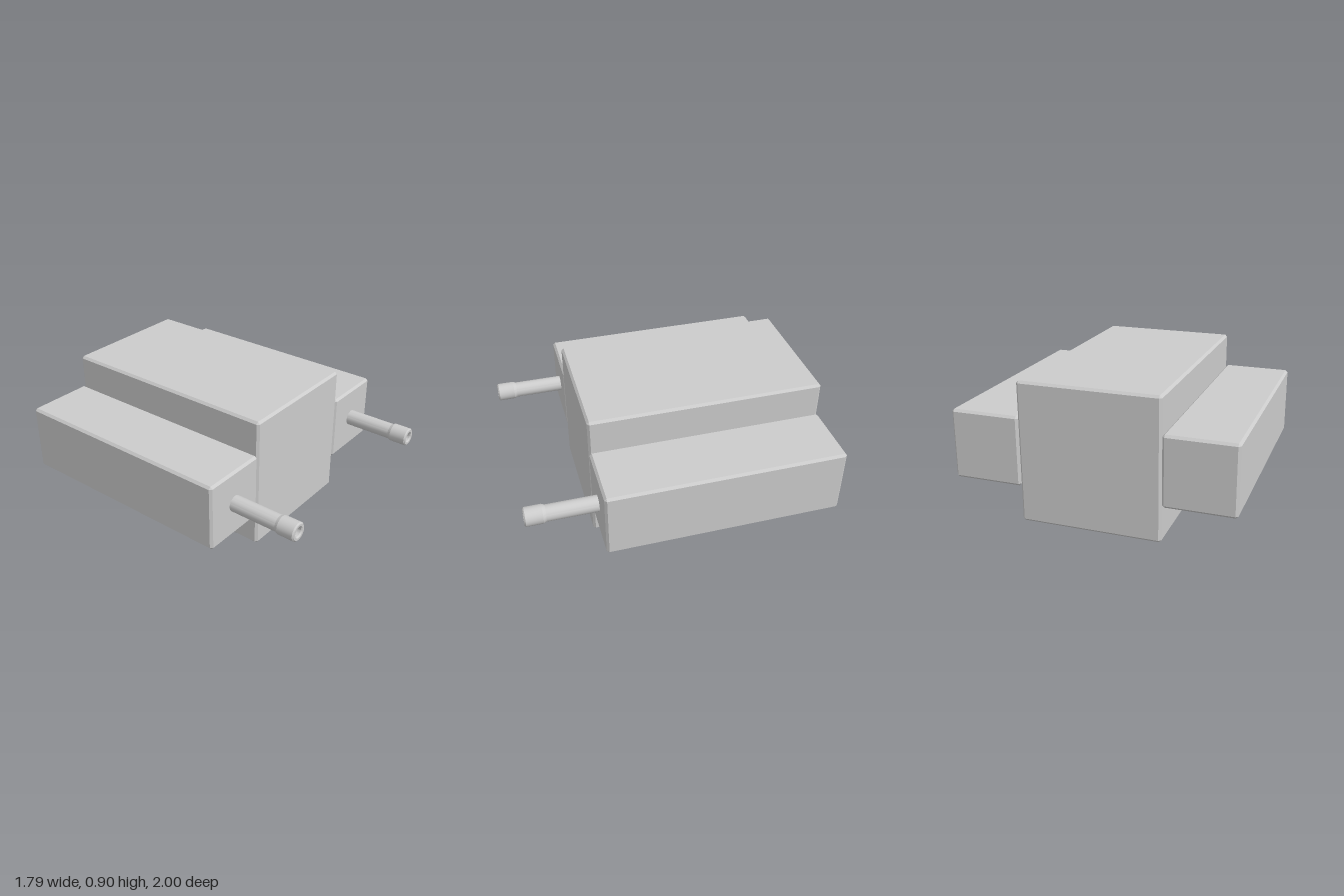
import * as THREE from 'three';
import { toCreasedNormals } from 'three/addons/utils/BufferGeometryUtils.js';
import { ConvexGeometry } from 'three/addons/geometries/ConvexGeometry.js';

const material = new THREE.MeshStandardMaterial({ color: 0xcccccc });

// Box with every edge chamfered by c: three points at each corner
function chamferedBox(w, h, d, c) {
  const points = [];
  for (const sx of [-1, 1]) for (const sy of [-1, 1]) for (const sz of [-1, 1]) {
    const x = w / 2, y = h / 2, z = d / 2;
    points.push(
      new THREE.Vector3(sx * x, sy * (y - c), sz * (z - c)),
      new THREE.Vector3(sx * (x - c), sy * y, sz * (z - c)),
      new THREE.Vector3(sx * (x - c), sy * (y - c), sz * z)
    );
  }
  return new ConvexGeometry(points);
}

// Hollow tube with a thicker muzzle, turned to point along +z
function barrelGeometry() {
  const profile = [
    [0, 0.5], [0.053, 0.5], [0.053, 0.865], [0.061, 0.885], [0.061, 0.992],
    [0.053, 1], [0.038, 1], [0.031, 0.992], [0.031, 0.88], [0, 0.88]
  ].map(([r, z]) => new THREE.Vector2(r, z));
  const lathe = new THREE.LatheGeometry(profile, 32).rotateX(Math.PI / 2);
  return toCreasedNormals(lathe, 0.35);
}

export function createModel() {
  const group = new THREE.Group();
  const add = (name, geometry, x, y, z) => {
    const mesh = new THREE.Mesh(geometry, material);
    mesh.name = name;
    mesh.position.set(x, y, z);
    group.add(mesh);
  };

  // Central body
  add('body', chamferedBox(0.895, 0.9, 1.54, 0.015), 0, 0.45, -0.23);

  // Side pods with barrels, mirrored
  const pod = chamferedBox(0.448, 0.448, 1.54, 0.015);
  const barrel = barrelGeometry();
  for (const [side, s] of [['left', 1], ['right', -1]]) {
    add(side + 'Pod', pod, s * 0.672, 0.452, -0.23);
    add(side + 'Barrel', barrel, s * 0.672, 0.452, 0);
  }
  return group;
}
